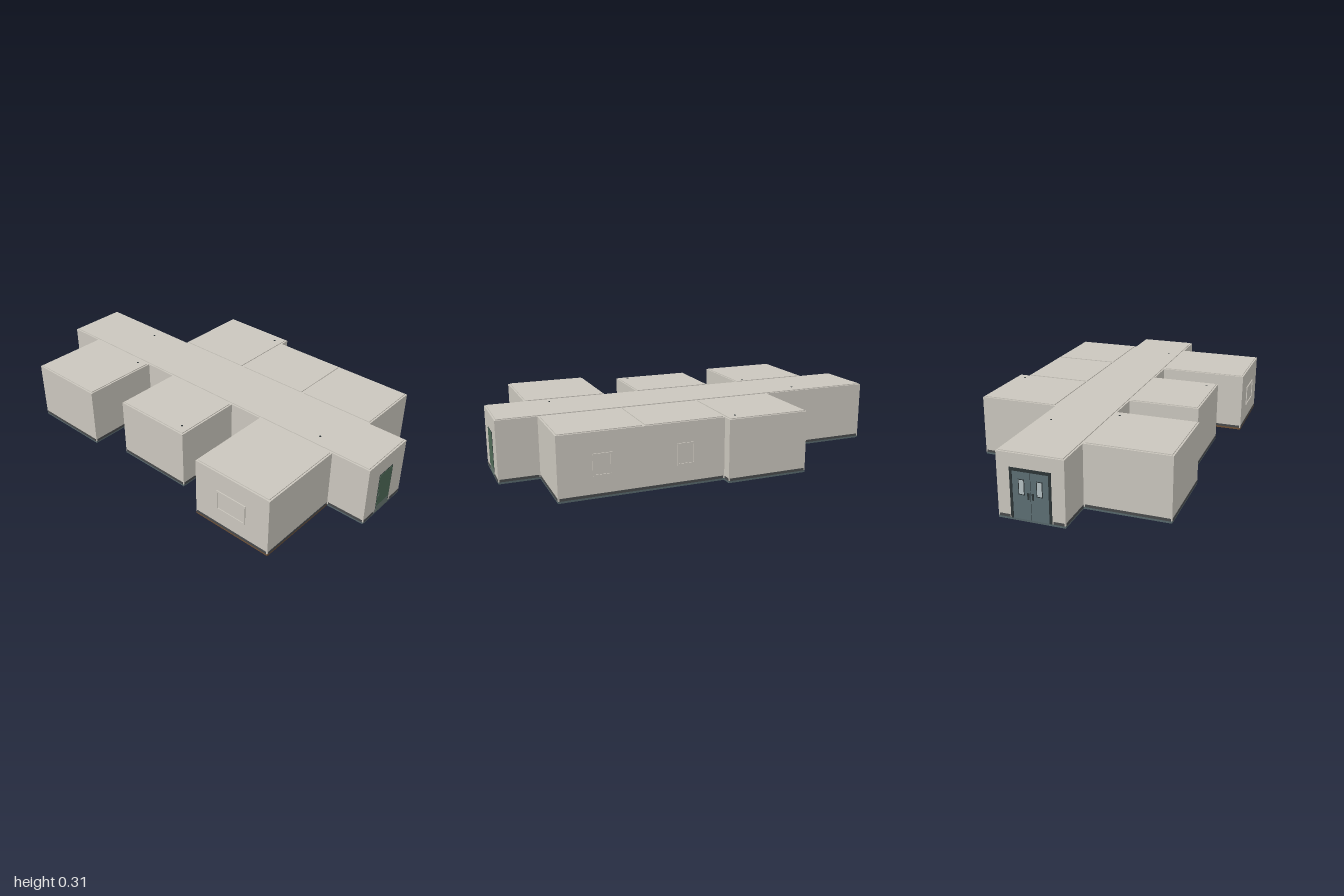
import * as THREE from 'three';

const mat = (name, color) => {
  const m = new THREE.MeshStandardMaterial({ color });
  m.name = name;
  return m;
};

export function createModel() {
  const model = new THREE.Group();
  model.name = 'building';
  const wall = mat('wallPlaster', 0xcac6bd);
  const slate = mat('slateFloor', 0x56666a);
  const wood = mat('brownFloor', 0x6e5036);
  const dark = mat('darkTrim', 0x484a4b);
  const frame = mat('doorFrame', 0x2c3436);
  const green = mat('greenDoor', 0x4e6956);
  const grey = mat('greyDoor', 0x5c6e73);
  const kick = mat('kickPlate', 0x66766f);
  const glass = mat('doorGlass', 0xb4c0c2);

  // Box given by its lower and upper corners
  const box = (name, m, x0, x1, y0, y1, z0, z1, parent = model) => {
    const mesh = new THREE.Mesh(new THREE.BoxGeometry(x1 - x0, y1 - y0, z1 - z0), m);
    mesh.position.set((x0 + x1) / 2, (y0 + y1) / 2, (z0 + z1) / 2);
    mesh.name = name;
    parent.add(mesh);
    return mesh;
  };

  // Corridor and rooms: floor slab, wall block and inset roof panel
  const rooms = [
    ['corridor', -0.13, 0.18, -0.997, 0.997, slate],
    ['backLeftWing', 0.18, 0.578, -0.405, 0.004, slate],
    ['middleLeftRoom', 0.18, 0.527, 0.004, 0.4, slate],
    ['frontLeftRoom', 0.18, 0.527, 0.4, 0.8, slate],
    ['backRightRoom', -0.53, -0.13, -0.805, -0.387, slate],
    ['middleRightRoom', -0.48, -0.13, -0.21, 0.203, slate],
    ['frontRightRoom', -0.578, -0.13, 0.38, 0.8, wood],
  ];
  for (const [name, x0, x1, z0, z1, floor] of rooms) {
    const room = new THREE.Group();
    room.name = name;
    box('floor', floor, x0, x1, 0, 0.01, z0, z1, room);
    box('walls', wall, x0, x1, 0.01, 0.306, z0, z1, room);
    const e = 0.008;
    box('roof', wall, x0 + e, x1 - e, 0.306, 0.31, z0 + e, z1 - e, room);
    model.add(room);
  }

  // Skirting strips along the outline, broken at the two doors
  const outlines = [
    [[0.09, 0.997], [0.18, 0.997], [0.18, 0.8], [0.527, 0.8], [0.527, 0.004], [0.578, 0.004],
      [0.578, -0.405], [0.18, -0.405], [0.18, -0.997], [0.12, -0.997]],
    [[-0.07, -0.997], [-0.13, -0.997], [-0.13, -0.805], [-0.53, -0.805], [-0.53, -0.387],
      [-0.13, -0.387], [-0.13, -0.21], [-0.48, -0.21], [-0.48, 0.203], [-0.13, 0.203],
      [-0.13, 0.38], [-0.578, 0.38], [-0.578, 0.8], [-0.13, 0.8], [-0.13, 0.997], [-0.04, 0.997]],
  ];
  for (const line of outlines) {
    for (let i = 1; i < line.length; i++) {
      const [ax, az] = line[i - 1], [bx, bz] = line[i];
      const alongX = az === bz, t = 0.002, inset = -0.006;
      const gx = alongX ? inset : t, gz = alongX ? t : inset;
      box('skirting', dark, Math.min(ax, bx) - gx, Math.max(ax, bx) + gx, 0.01, 0.022,
        Math.min(az, bz) - gz, Math.max(az, bz) + gz);
    }
  }

  // Window: raised surround and recessed panel on a side wall
  const sideWindow = (x, side, zc, w) => {
    const g = new THREE.Group();
    g.name = 'window';
    const y0 = 0.103, y1 = 0.208, b = 0.008;
    const strip = (name, depth, ya, yb, za, zb) => {
      const out = x + side * depth;
      box(name, wall, Math.min(x, out), Math.max(x, out), ya, yb, za, zb, g);
    };
    const z0 = zc - w / 2, z1 = zc + w / 2;
    strip('panel', 0.001, y0 + b, y1 - b, z0 + b, z1 - b);
    strip('sill', 0.005, y0, y0 + b, z0, z1);
    strip('lintel', 0.005, y1 - b, y1, z0, z1);
    strip('jamb', 0.005, y0 + b, y1 - b, z0, z0 + b);
    strip('jamb', 0.005, y0 + b, y1 - b, z1 - b, z1);
    model.add(g);
  };
  sideWindow(0.527, 1, 0.596, 0.09);
  sideWindow(0.527, 1, 0.2, 0.09);
  sideWindow(-0.578, -1, 0.59, 0.165);

  // Front door
  const front = new THREE.Group();
  front.name = 'frontDoor';
  box('frame', frame, -0.032, 0.081, 0.01, 0.226, 0.99, 0.998, front);
  box('leaf', green, -0.03, 0.077, 0.045, 0.223, 0.99, 0.9993, front);
  box('kickPlate', kick, -0.03, 0.077, 0.01, 0.045, 0.99, 0.9993, front);
  box('handle', kick, -0.024, -0.016, 0.1, 0.12, 0.995, 1, front);
  model.add(front);

  // Back double door
  const back = new THREE.Group();
  back.name = 'backDoor';
  box('lintel', frame, -0.07, 0.12, 0.228, 0.242, -1, -0.99, back);
  for (const s of [-1, 1]) {
    const c = 0.025;
    const piece = (name, m, a, b, y0, y1, z) =>
      box(name, m, c + Math.min(s * a, s * b), c + Math.max(s * a, s * b), y0, y1, z, -0.99, back);
    piece('jamb', frame, 0.083, 0.095, 0.01, 0.228, -1);
    piece('leaf', grey, 0.001, 0.083, 0.01, 0.228, -0.998);
    piece('windowFrame', frame, 0.027, 0.056, 0.122, 0.194, -0.9985);
    piece('windowPane', glass, 0.031, 0.052, 0.126, 0.19, -0.999);
    piece('handle', frame, 0.006, 0.015, 0.105, 0.135, -1);
  }
  box('doorGap', frame, 0.024, 0.026, 0.01, 0.228, -0.998, -0.99, back);
  model.add(back);

  // Small roof studs
  for (const [x, z] of [[0.113, -0.598], [-0.163, -0.44], [0.527, -0.047], [-0.43, 0.153], [-0.065, 0.688]]) {
    box('roofStud', frame, x - 0.004, x + 0.004, 0.309, 0.312, z - 0.004, z + 0.004);
  }
  return model;
}
